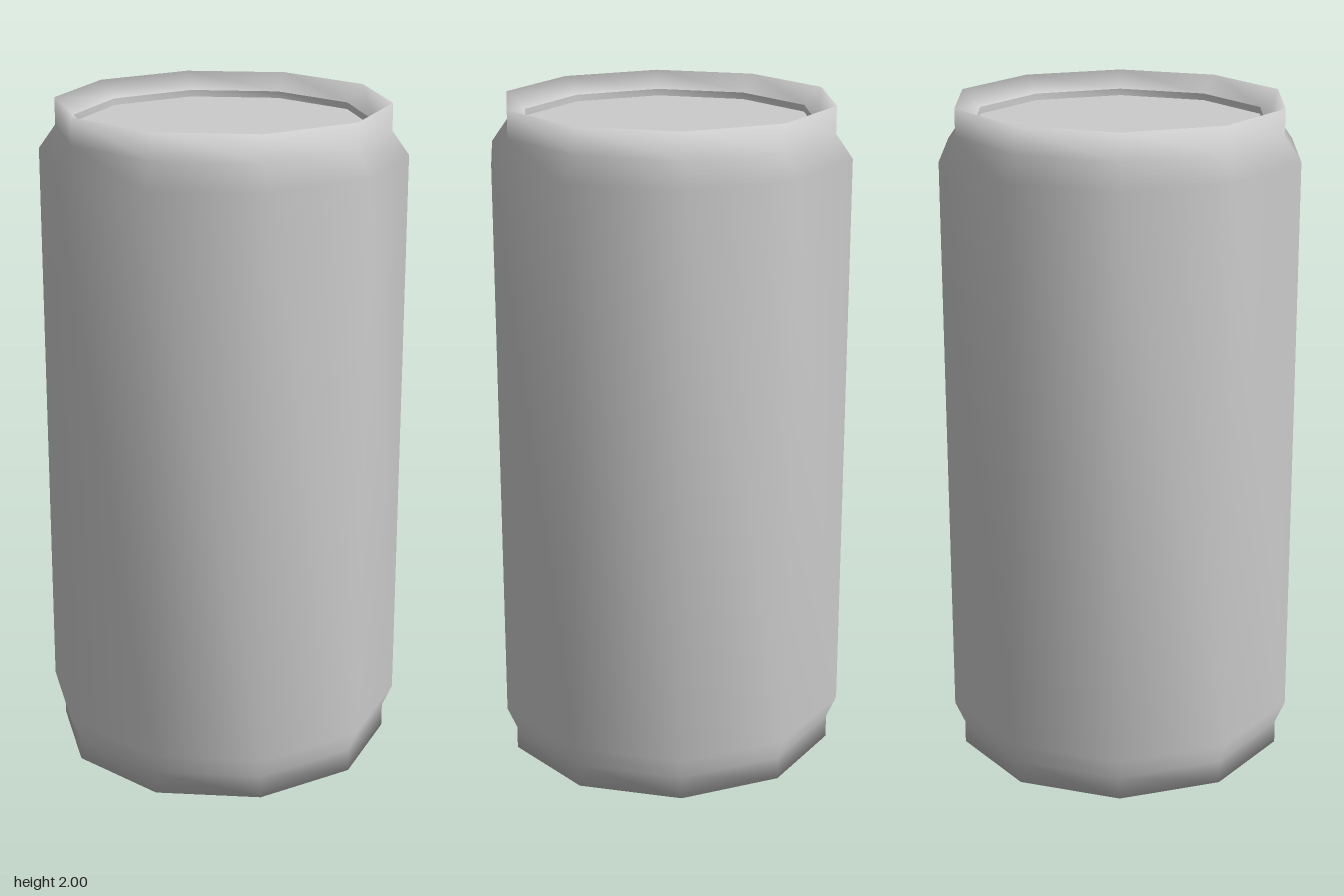
import * as THREE from 'three';
import { mergeVertices } from 'three/addons/utils/BufferGeometryUtils.js';

const SIDES = 10;

// Ten-sided lathe with a corner on the x axis and area-weighted smooth normals.
function lathe(name, profile, material) {
  const points = profile.map(([r, y]) => new THREE.Vector2(r, y));
  let geo = new THREE.LatheGeometry(points, SIDES, Math.PI / 2);
  geo.deleteAttribute('uv');
  geo.deleteAttribute('normal');
  geo = mergeVertices(geo, 1e-4);
  geo.computeVertexNormals();
  const mesh = new THREE.Mesh(geo, material);
  mesh.name = name;
  return mesh;
}

// Flat ten-sided panel, facing up or down.
function panel(name, radius, y, up, material) {
  const geo = new THREE.CircleGeometry(radius, SIDES);
  geo.rotateX(up ? -Math.PI / 2 : Math.PI / 2);
  const mesh = new THREE.Mesh(geo, material);
  mesh.position.y = y;
  mesh.name = name;
  return mesh;
}

export function createModel() {
  const group = new THREE.Group();
  group.name = 'drinkCan';
  const metal = new THREE.MeshStandardMaterial({ color: 0xcccccc });

  // Outer wall with stepped foot and neck, and rims sloping inwards
  group.add(lathe('canBody', [
    [0.42, 0.05],
    [0.51, 0],
    [0.51, 0.07],
    [0.54, 0.14],
    [0.54, 1.85],
    [0.49, 1.92],
    [0.49, 2],
    [0.435, 1.95],
  ], metal));

  // Short walls down to the recessed lid and up to the recessed base
  group.add(lathe('lidWall', [[0.435, 1.95], [0.435, 1.93]], metal));
  group.add(lathe('baseWall', [[0.42, 0.1], [0.42, 0.05]], metal));
  group.add(panel('lid', 0.435, 1.93, true, metal));
  group.add(panel('base', 0.42, 0.1, false, metal));

  return group;
}
